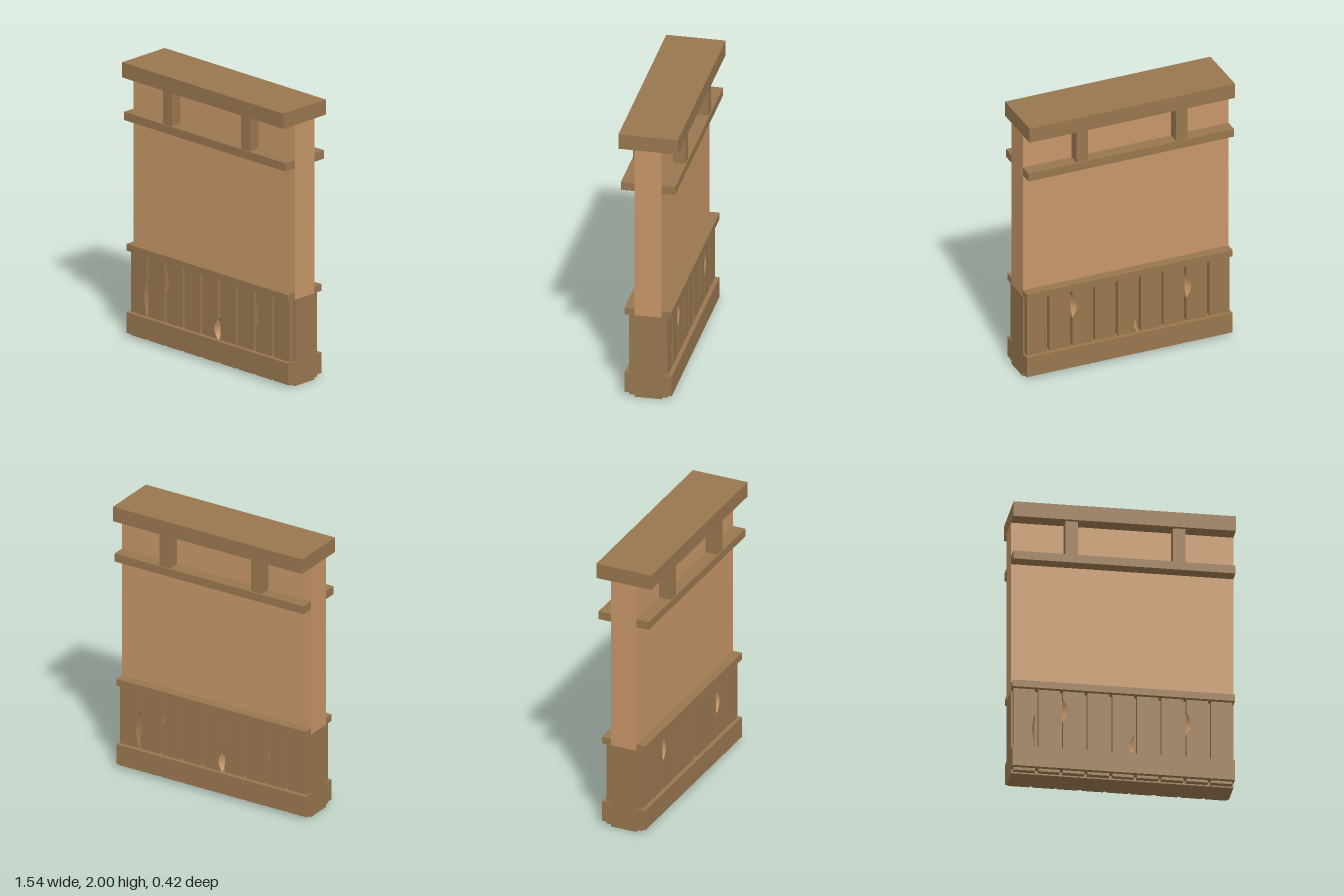
import * as THREE from 'three';

const plaster = new THREE.MeshStandardMaterial({ color: 0xc69668 });
plaster.name = 'light tan';
const wood = new THREE.MeshStandardMaterial({ color: 0x98774f });
wood.name = 'brown wood';

const HALF = 0.77;      // half length of the wall
const CORE = 0.095;     // half thickness of the wall
const FRONT = 0.135;    // front face of the planks
const PLANK_W = 0.15, PITCH = 0.171, BOTTOM = 0.01, TOP = 0.625;

// Box given by its limits on each axis
function box(name, mat, x0, x1, y0, y1, z0, z1) {
  const mesh = new THREE.Mesh(new THREE.BoxGeometry(x1 - x0, y1 - y0, z1 - z0), mat);
  mesh.position.set((x0 + x1) / 2, (y0 + y1) / 2, (z0 + z1) / 2);
  mesh.name = name;
  return mesh;
}

// Chipped planks: index, damaged edge (-1 or 1), height range, bite depth, colour
const chips = {
  0: { edge: 1, y0: 0.19, y1: 0.45, depth: 0.022, mat: wood },
  2: { edge: -1, y0: 0.4, y1: 0.565, depth: 0.034, mat: plaster },
  4: { edge: 1, y0: 0.17, y1: 0.33, depth: 0.034, mat: plaster },
  7: { edge: -1, y0: 0.36, y1: 0.53, depth: 0.034, mat: plaster },
};
const STEPS = 8;

function chipCurve(c, edgeX) {
  return Array.from({ length: STEPS + 1 }, (_, i) => {
    const s = Math.sin(Math.PI * i / STEPS);
    return { x: edgeX - c.edge * c.depth * s, y: c.y0 + (c.y1 - c.y0) * i / STEPS, s };
  });
}

// Sloping broken face running from the bitten outline back to the plank edge
function chipFace(c, edgeX) {
  const pos = [], index = [];
  chipCurve(c, edgeX).forEach((p, i) => {
    pos.push(p.x, p.y, FRONT, edgeX, p.y, FRONT - 0.036 * p.s);
    if (i < STEPS) {
      const a = 2 * i;
      index.push(a, a + 1, a + 3, a, a + 3, a + 2);
    }
  });
  if (c.edge < 0) index.reverse();
  const g = new THREE.BufferGeometry();
  g.setAttribute('position', new THREE.Float32BufferAttribute(pos, 3));
  g.setIndex(index);
  g.computeVertexNormals();
  const mesh = new THREE.Mesh(g, c.mat);
  mesh.name = 'chipFace';
  return mesh;
}

function plank(i) {
  const cx = (i - 4) * PITCH, x0 = cx - PLANK_W / 2, x1 = cx + PLANK_W / 2;
  const c = chips[i];
  if (!c) return box('plank', wood, x0, x1, BOTTOM, TOP, CORE, FRONT);
  const group = new THREE.Group();
  group.name = 'chippedPlank';
  const edgeX = c.edge > 0 ? x1 : x0;
  const curve = chipCurve(c, edgeX);
  const pts = [[x0, BOTTOM], [x1, BOTTOM]];
  if (c.edge > 0) curve.forEach(p => pts.push([p.x, p.y]));
  pts.push([x1, TOP], [x0, TOP]);
  if (c.edge < 0) curve.reverse().forEach(p => pts.push([p.x, p.y]));
  const shape = new THREE.Shape(pts.map(p => new THREE.Vector2(...p)));
  const body = new THREE.Mesh(
    new THREE.ExtrudeGeometry(shape, { depth: FRONT - CORE, bevelEnabled: false }), wood);
  body.position.z = CORE;
  body.name = 'plank';
  group.add(body, chipFace(c, edgeX));
  return group;
}

// Everything mounted on one face of the wall
function createTrim(name) {
  const side = new THREE.Group();
  side.name = name;
  side.add(
    box('baseRail', wood, -HALF, HALF, 0.03, 0.18, CORE, 0.165),
    box('chairRail', wood, -HALF, HALF, TOP, 0.675, CORE, 0.165),
    box('upperRail', wood, -HALF, HALF, 1.577, 1.637, CORE, 0.19),
    box('leftPost', wood, 0.338, 0.424, 1.637, 1.89, CORE, 0.182),
    box('rightPost', wood, -0.407, -0.321, 1.637, 1.89, CORE, 0.182),
  );
  for (let i = 0; i < 9; i++) side.add(plank(i));
  return side;
}

export function createModel() {
  const model = new THREE.Group();
  model.name = 'wallSection';
  // Wall core and top beam
  model.add(
    box('lowerWall', wood, -HALF, HALF, 0, TOP, -CORE, CORE),
    box('upperWall', plaster, -HALF, HALF, TOP, 1.89, -CORE, CORE),
    box('topBeam', wood, -HALF, HALF, 1.89, 2, -0.208, 0.208),
  );
  // The back carries the same trim, turned half round
  const back = createTrim('backTrim');
  back.rotation.y = Math.PI;
  model.add(createTrim('frontTrim'), back);
  return model;
}
